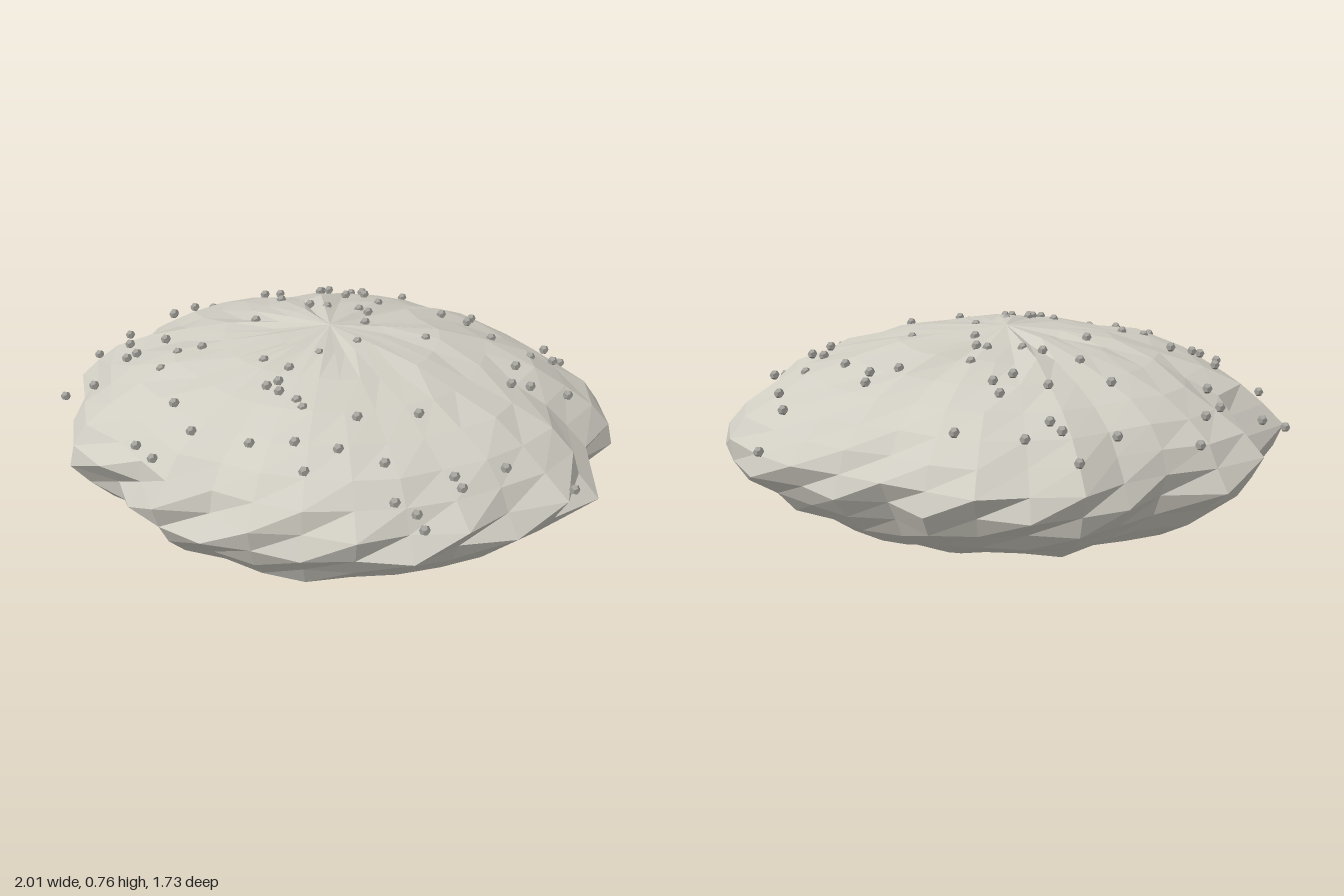
import * as THREE from 'three';

const mat = (name, color) => {
  const m = new THREE.MeshStandardMaterial({ color, flatShading: true });
  m.name = name;
  return m;
};

// small seeded random generator
function seeded(seed) {
  return () => {
    seed = (seed + 0x6d2b79f5) | 0;
    let t = Math.imul(seed ^ (seed >>> 15), 1 | seed);
    t = (t + Math.imul(t ^ (t >>> 7), 61 | t)) ^ t;
    return ((t ^ (t >>> 14)) >>> 0) / 4294967296;
  };
}

const MID = 0.385, HALF = 0.38, ROWS = 15;

// radius of the widest rings, starting at +x and turning toward +z
const OUTLINE = [
  0.93, 1.026, 1.0, 0.95, 0.93, 0.92, 0.89, 0.87, 0.86, 0.865, 0.89, 0.86, 0.88, 0.95, 0.93, 0.95,
  1.005, 0.9, 0.98, 0.94, 0.82, 0.84, 0.875, 0.875, 0.875, 0.855, 0.82, 0.86, 0.9, 0.97, 1.0, 1.026,
];

// pebble places, x and z in hundredths
const PEBBLES = [
  [-99, -13], [-90, -23], [-93, 26], [-77, 33], [-75, 7], [-71, -24], [-75, -33], [-68, -56], [-70, -42],
  [-70, 20], [-67, 18], [-59, 10], [-51, 32], [-49, 22], [-41, 19], [-42, -66], [-39, -40], [-31, -78],
  [-25, -69], [-21, -66], [-14, -74], [8, -73], [-28, -28], [-29, -3], [-19, -48], [-4, -55], [-1, -48],
  [-7, -43], [8, -35], [-15, -23], [-8, -22], [4, -23], [8, -21], [12, 7], [10, -10], [2, 19], [-15, 27],
  [-5, 30], [-6, 38], [-9, 41], [-4, 43], [3, 46], [6, 49], [24, 48], [42, 39], [33, -7], [32, -37],
  [42, -44], [42, -37], [53, -26], [65, -9], [66, 5], [68, -23], [75, -33], [75, -59], [70, -46], [84, -8],
  [72, 1], [93, 35], [72, 45], [61, 59], [58, 57], [43, 72], [50, 72], [53, 74], [37, 62], [22, 62],
  [14, 72], [8, 63], [-6, 66], [-27, 63], [-38, 51], [-37, 72], [-45, 67],
];

// flattened boulder: rings pushed in and out from the middle, closed at both poles
function boulderGeometry() {
  const rand = seeded(23), n = OUTLINE.length;
  const ridges = OUTLINE.map(() => rand() * 0.04);
  const pos = [0, MID + HALF, 0], index = [];
  for (let i = 1; i < ROWS; i++) {
    const lat = Math.PI / 2 - (i / ROWS) * Math.PI;
    const belt = Math.cos(lat) ** 3;
    for (let j = 0; j < n; j++) {
      const a = (j / n) * Math.PI * 2;
      const oval = 1 / Math.hypot(Math.cos(a) / 0.97, Math.sin(a) / 0.89);
      // every column peaks on one of the two middle rings
      const push = i === 7 + (j % 2) ? 1 : 0.92 + ridges[j] + rand() * 0.04;
      const r = THREE.MathUtils.lerp(oval, OUTLINE[j], belt) * Math.cos(lat) * push;
      pos.push(r * Math.cos(a), MID + Math.sin(lat) * HALF * push, r * Math.sin(a));
    }
  }
  const last = pos.length / 3;
  pos.push(0, MID - HALF - 0.005, 0);
  const at = (i, j) => 1 + (i - 1) * n + (j % n);
  for (let j = 0; j < n; j++) {
    index.push(0, at(1, j + 1), at(1, j));
    for (let i = 1; i < ROWS - 1; i++) {
      const a = at(i, j), b = at(i, j + 1), c = at(i + 1, j), d = at(i + 1, j + 1);
      index.push(a, b, d, a, d, c);
    }
    index.push(last, at(ROWS - 1, j), at(ROWS - 1, j + 1));
  }
  const g = new THREE.BufferGeometry();
  g.setAttribute('position', new THREE.Float32BufferAttribute(pos, 3));
  g.setIndex(index);
  g.computeVertexNormals();
  return g;
}

export function createModel() {
  const group = new THREE.Group();
  group.name = 'boulder';
  const stone = mat('pale stone', 0xd0cdc3);
  const grit = mat('grey grit', 0xa2a09a);

  const body = new THREE.Mesh(boulderGeometry(), stone);
  body.name = 'boulderBody';
  group.add(body);

  // grit scattered over the smooth upper dome
  const pebbles = new THREE.Group();
  pebbles.name = 'pebbles';
  const pebbleGeo = new THREE.DodecahedronGeometry(0.018);
  for (const [px, pz] of PEBBLES) {
    const x = px / 100, z = pz / 100;
    const rise = Math.sqrt(Math.max(0.07, 1 - (x / 1.02) ** 2 - (z / 0.92) ** 2));
    const p = new THREE.Mesh(pebbleGeo, grit);
    p.name = 'pebble';
    p.position.set(x, 0.35 + 0.4 * rise, z);
    pebbles.add(p);
  }
  group.add(pebbles);
  return group;
}
